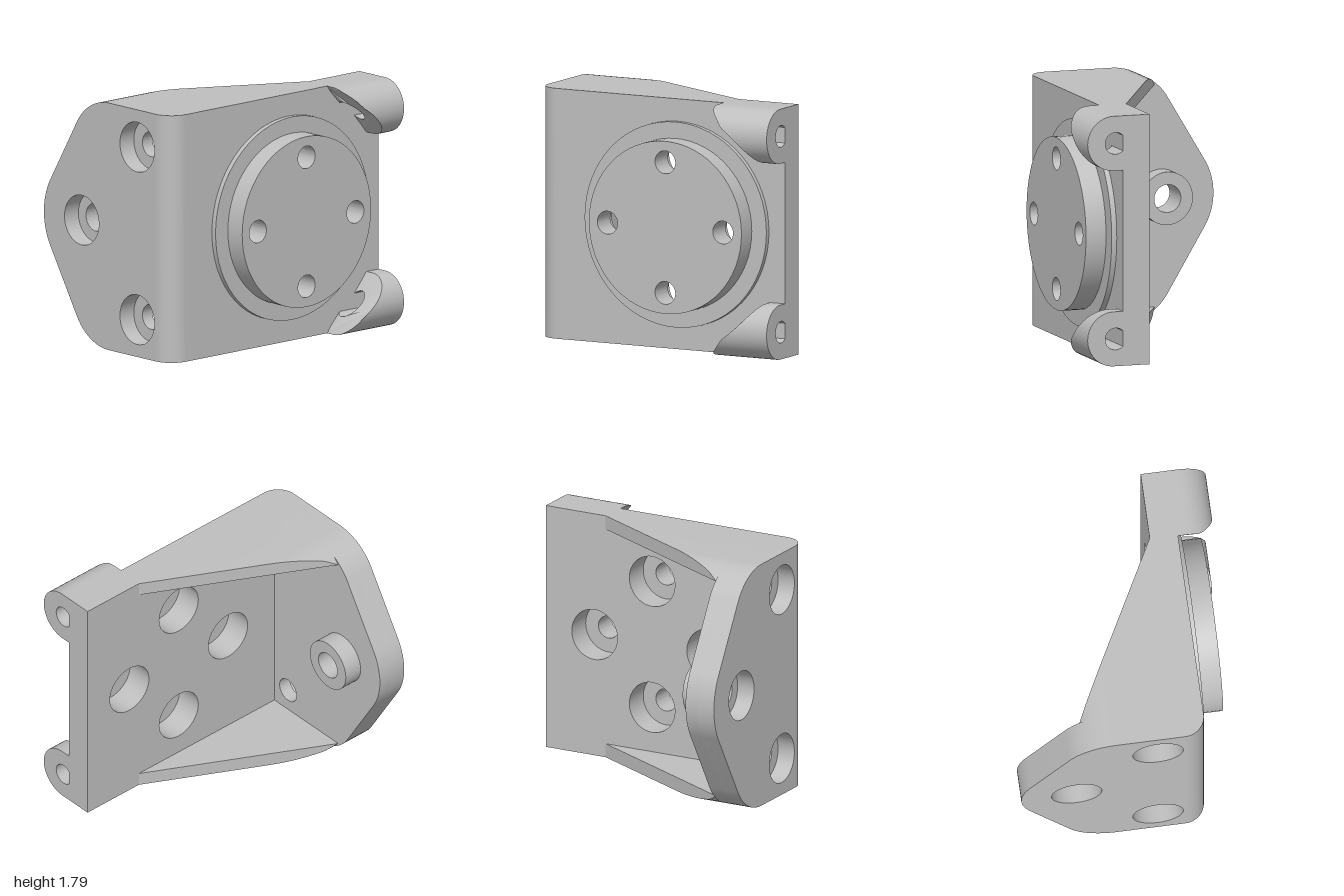
import * as THREE from 'three';
import { toCreasedNormals } from 'three/addons/utils/BufferGeometryUtils.js';

const H = 1.79, MID = H / 2;              // overall height and its centre line
const BACK = 0.32, FRONT = 0.52;          // front plate, depth
const OUT = -0.973, IN = -0.743, END = 1.025; // side plate faces and free end
const BOSS_X = 0.162;                     // centre of the round boss

export function createModel() {
  const model = new THREE.Group();
  const bracket = new THREE.Group();
  bracket.name = 'bracket';
  bracket.rotation.y = -0.087;
  model.add(bracket);
  const grey = new THREE.MeshStandardMaterial({ color: 0xbfbfbf });
  grey.name = 'plainGrey';

  const add = (name, geo) => {
    const mesh = new THREE.Mesh(toCreasedNormals(geo, 0.6), grey);
    mesh.name = name;
    bracket.add(mesh);
  };
  const polygon = (pts) => new THREE.Shape(pts.map((p) => new THREE.Vector2(p[0], p[1])));
  const circle = (x, y, r, Type = THREE.Path) => new Type().absarc(x, y, r, 0, Math.PI * 2, false);
  const extrude = (shape, from, to) =>
    new THREE.ExtrudeGeometry(shape, { depth: to - from, bevelEnabled: false, curveSegments: 32 })
      .translate(0, 0, from);
  // Extrude along x; the shape is drawn in (-z, y)
  const extrudeX = (shape, from, to) => extrude(shape, from, to).rotateY(Math.PI / 2);
  const arc = (cx, cy, r, a0, a1, n = 12) =>
    Array.from({ length: n + 1 }, (_, i) => {
      const a = a0 + ((a1 - a0) * i) / n;
      return [cx + r * Math.cos(a), cy + r * Math.sin(a)];
    });
  const move = (geo, rule) => {
    const p = geo.attributes.position, v = new THREE.Vector3();
    for (let i = 0; i < p.count; i++) {
      rule(v.fromBufferAttribute(p, i));
      p.setXYZ(i, v.x, v.y, v.z);
    }
    return geo;
  };

  // Front plate with wide bolt recesses open to the back
  const bolts = [[0, 0.467], [0, -0.467], [0.467, 0], [-0.467, 0]];
  const drill = (shape, r) => {
    bolts.forEach(([x, y]) => shape.holes.push(circle(BOSS_X + x, MID + y, r)));
    return shape;
  };
  add('frontPlate', extrude(drill(polygon([[IN, 0], [END, 0], [END, H], [IN, H]]), 0.185), BACK, FRONT));

  // Stepped round boss with four bolt holes
  add('bossStep', extrude(drill(circle(BOSS_X, MID, 0.735, THREE.Shape), 0.082), FRONT, 0.558));
  add('bossFace', extrude(drill(circle(BOSS_X, MID, 0.617, THREE.Shape), 0.082), 0.558, 0.708));

  // Rounded vertical corner joining the two plates
  const r = 0.15;
  const corner = polygon([
    ...arc(OUT + r, -FRONT + r, r, Math.PI, Math.PI * 1.5),
    [IN, -FRONT], [IN, -FRONT + r],
  ]);
  add('roundedCorner', extrude(corner, 0, H).rotateX(-Math.PI / 2));

  // Side plate outline: flat top, sloping shoulder, rounded nose
  const turn = 1.03;
  const shoulder = arc(0.12, H - 0.39, 0.39, Math.PI / 2, Math.PI / 2 - turn);
  const nose = arc(0.335, MID, 0.465, Math.PI / 2 - turn, turn - Math.PI / 2, 16);
  const flip = (pts) => pts.map(([x, y]) => [x, H - y]);
  const sideOutline = () => polygon([
    [-FRONT + r, H], ...shoulder, ...nose, ...flip(shoulder).reverse(), [-FRONT + r, 0],
  ]);
  const sideHoles = [[-0.175, H - 0.27, 0.09], [-0.175, 0.27, 0.09], [0.405, MID, 0.1]];
  const outer = sideOutline(), inner = sideOutline();
  sideHoles.forEach(([x, y, hole]) => {
    outer.holes.push(circle(x, y, 0.18));
    inner.holes.push(circle(x, y, hole));
  });
  add('sidePlateOuter', extrudeX(outer, OUT, -0.84));
  add('sidePlateInner', extrudeX(inner, -0.84, IN));

  // Raised collar round the nose hole
  const collar = circle(0.405, MID, 0.19, THREE.Shape);
  collar.holes.push(circle(0.405, MID, 0.1));
  add('noseCollar', extrudeX(collar, IN, -0.603));

  // Top and bottom gusset walls, cut on a slope towards the free end
  const wall = [
    [-BACK, H - 0.1], [-BACK, H],
    ...shoulder.filter(([x]) => x < 0.335), [0.357, H - 0.1],
  ];
  // Pierced lugs, hollowed to clear the boss and rounded at the front
  const lug = [[-0.5, H - 0.39], [-0.5, H], ...arc(-0.59, H - 0.195, 0.195, Math.PI / 2, Math.PI * 1.5, 24)];
  [['top', (p) => p], ['bottom', flip]].forEach(([side, place]) => {
    add(side + 'Gusset', move(extrudeX(polygon(place(wall)), IN, 0.54), (v) => {
      if (v.x > 0) v.x = IN + ((v.z + 0.357) * (0.54 - IN)) / (BACK + 0.357);
    }));

    const lugShape = polygon(place(lug));
    lugShape.holes.push(circle(-0.575, place([[0, H - 0.195]])[0][1], 0.078));
    add(side + 'Lug', move(extrudeX(lugShape, 0.53, END), (v) => {
      if (v.x > 0.8) return;
      const clear = BOSS_X + Math.sqrt(Math.max(0, 0.81 - (v.y - MID) ** 2));
      const rounding = 0.13 * Math.max(0, (v.z - 0.65) / 0.135) ** 2;
      v.x = Math.max(0.53 + rounding, clear);
    }));
  });

  return model;
}
